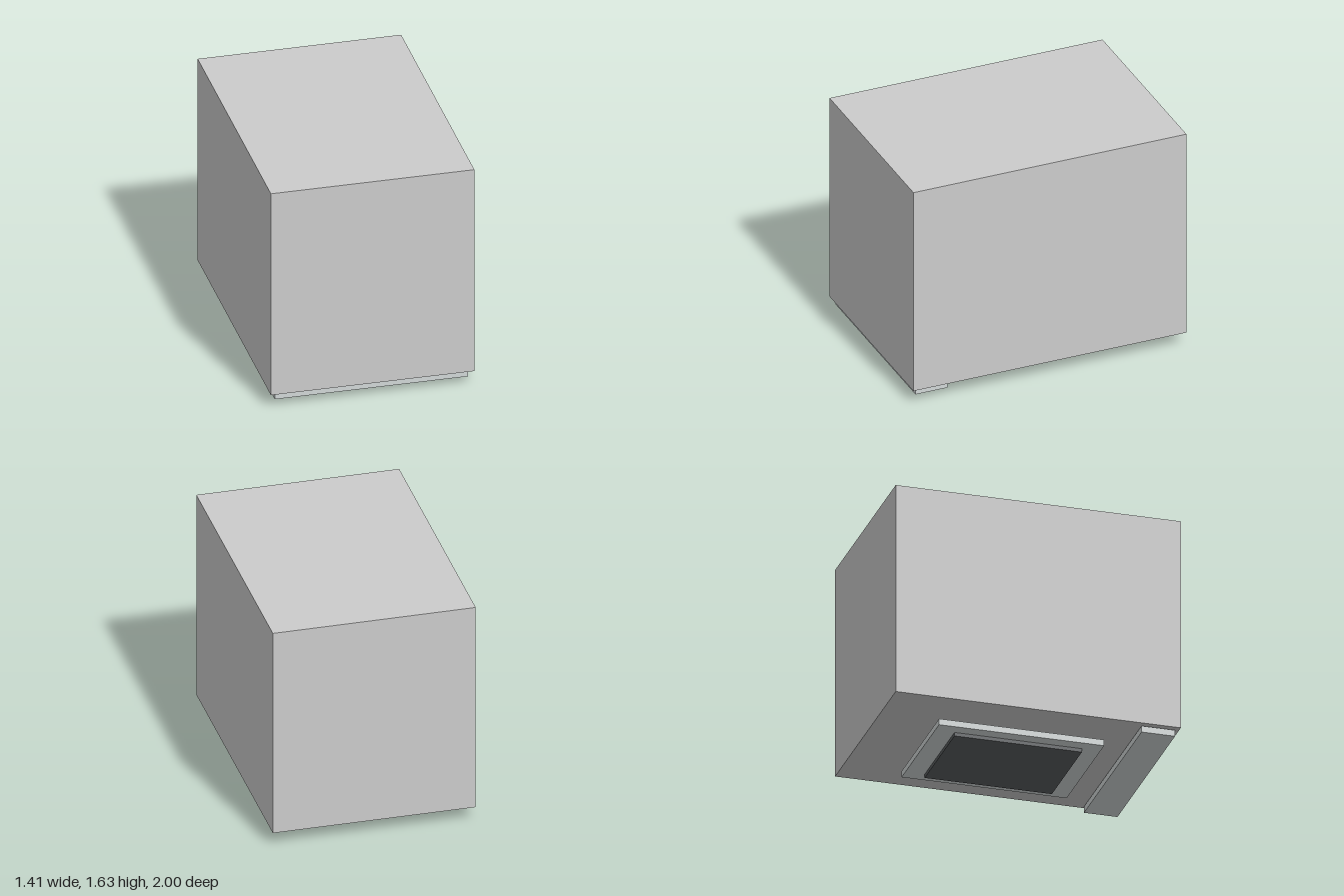
import * as THREE from 'three';

// Box given by its half width and its y and z ranges, centred on x = 0
function slab(name, halfWidth, [y0, y1], [z0, z1], color) {
  const mesh = new THREE.Mesh(
    new THREE.BoxGeometry(halfWidth * 2, y1 - y0, z1 - z0),
    new THREE.MeshStandardMaterial({ color })
  );
  mesh.position.set(0, (y0 + y1) / 2, (z0 + z1) / 2);
  mesh.name = name;
  return mesh;
}

export function createModel() {
  const model = new THREE.Group();
  model.name = 'blockWithBasePlates';
  model.add(
    // Main block
    slab('body', 0.705, [0.1, 1.63], [-1, 1], 0xcccccc),
    // Thin bar floating just under the front edge
    slab('frontStrip', 0.67, [0.049, 0.094], [0.735, 0.97], 0xd2d8d8),
    // Plate under the middle, with a smaller dark pad below it
    slab('basePlate', 0.436, [0.026, 0.07], [-0.615, 0.543], 0xd2d8d8),
    slab('darkPad', 0.348, [0, 0.026], [-0.48, 0.413], 0x5a5e60)
  );
  return model;
}
